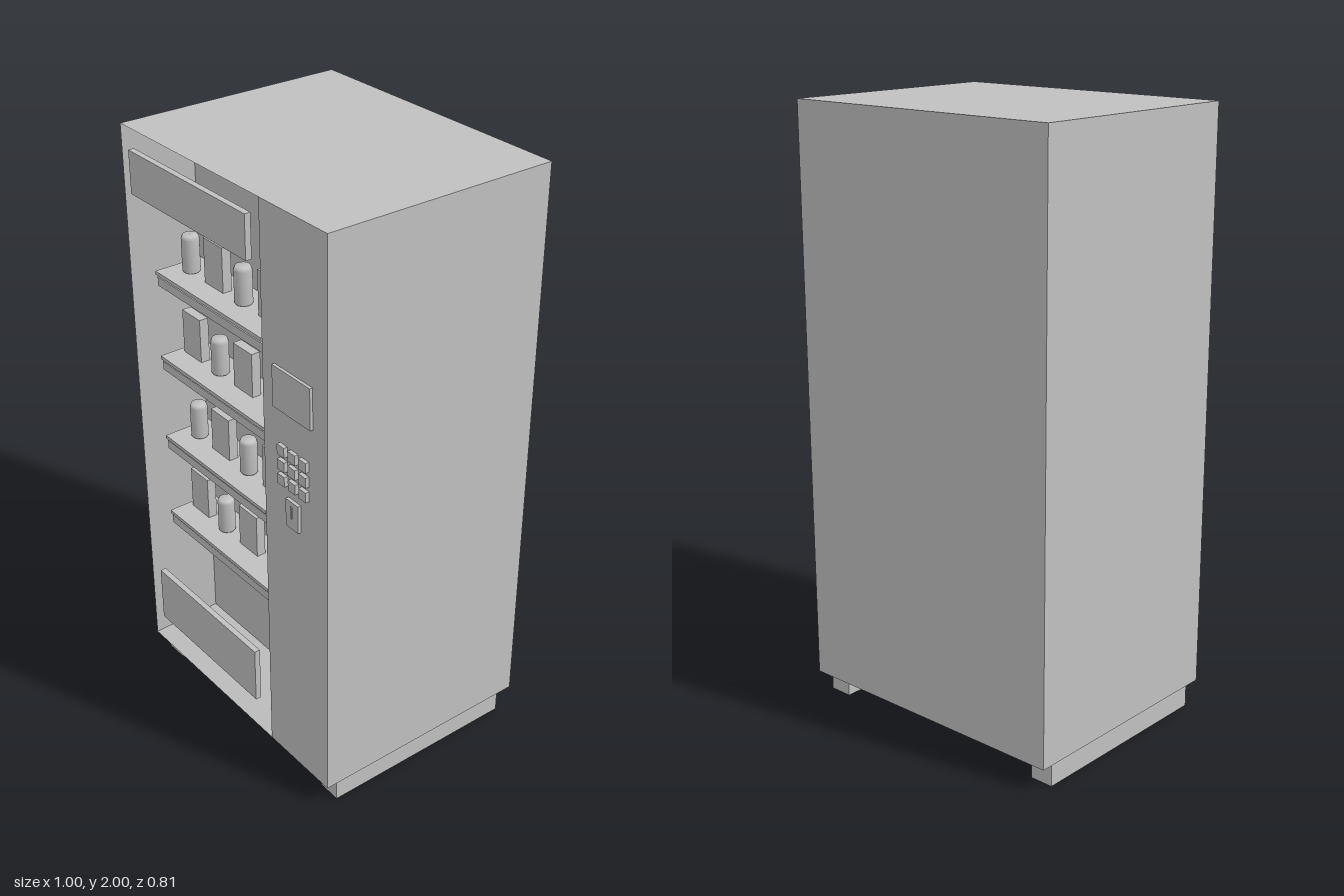
import * as THREE from 'three';

export function createModel() {
  const model = new THREE.Group();
  model.name = 'vendingMachine';
  const grey = new THREE.MeshStandardMaterial({ color: 0xc0c0c0, side: THREE.DoubleSide });
  grey.name = 'plain grey';

  function add(name, geometry, parent = model) {
    const mesh = new THREE.Mesh(geometry, grey);
    mesh.name = name;
    parent.add(mesh);
    return mesh;
  }

  // Box given by its limits on each axis
  function box(name, [x0, x1], [y0, y1], [z0, z1], parent = model) {
    const mesh = add(name, new THREE.BoxGeometry(x1 - x0, y1 - y0, z1 - z0), parent);
    mesh.position.set((x0 + x1) / 2, (y0 + y1) / 2, (z0 + z1) / 2);
    return mesh;
  }

  // Flat-shaded faces, each with four corners counter-clockwise from its front
  function quads(faces) {
    const points = [];
    for (const [a, b, c, d] of faces) points.push(...a, ...b, ...c, ...a, ...c, ...d);
    const geometry = new THREE.BufferGeometry();
    geometry.setAttribute('position', new THREE.Float32BufferAttribute(points, 3));
    geometry.computeVertexNormals();
    return geometry;
  }

  // Rectangle at depth z, counter-clockwise from the lower left
  const rect = (x0, x1, y0, y1, z) => [[x0, y0, z], [x1, y0, z], [x1, y1, z], [x0, y1, z]];
  const FRONT = 0.39, BACK = -0.405;

  // Outer shell, open underneath and at the display window
  const f = rect(-0.5, 0.5, 0.08, 2, FRONT);
  const b = rect(-0.5, 0.5, 0.08, 2, BACK);
  add('cabinetShell', quads([
    [b[1], b[0], b[3], b[2]],
    [f[1], b[1], b[2], f[2]],
    [b[0], f[0], f[3], b[3]],
    [f[3], f[2], b[2], b[3]],
  ]));
  add('controlPanel', quads([rect(0.2, 0.5, 0.08, 2, FRONT)]));

  // Display recess, tapering towards its back wall
  const rim = rect(-0.5, 0.2, 0.08, 2, FRONT);
  const rear = rect(-0.44, 0.14, 0.14, 1.94, 0.174);
  const recess = [rear];
  for (let i = 0; i < 4; i++) {
    const j = (i + 1) % 4;
    recess.push([rim[i], rim[j], rear[j], rear[i]]);
  }
  add('displayRecess', quads(recess));

  // Foot rails
  for (const side of [-1, 1]) {
    const foot = box('footRail', [-0.04, 0.04], [0, 0.08], [-0.355, 0.345]);
    foot.position.x = side * 0.45;
  }

  box('headerSign', [-0.447, 0.147], [1.795, 1.935], [0.38, 0.4]);
  box('deliveryFlap', [-0.43, 0.13], [0.2, 0.4], [0.38, 0.4]);

  // Shelves with alternating cans and cartons
  const canGeometry = new THREE.LatheGeometry(
    [[0, 0], [0.025, 0], [0.029, 0.006], [0.029, 0.112], [0.024, 0.125], [0, 0.125]]
      .map(([x, y]) => new THREE.Vector2(x, y)), 16);
  for (let row = 0; row < 4; row++) {
    const shelf = new THREE.Group();
    shelf.name = 'shelf';
    shelf.position.y = 1.53 - row * 0.3;
    model.add(shelf);
    box('shelfPlate', [-0.43, 0.13], [-0.012, 0], [0.174, 0.344], shelf);
    box('priceRail', [-0.43, 0.13], [-0.052, -0.022], [0.322, 0.337], shelf);
    for (let i = 0; i < 4; i++) {
      const x = -0.36 + i * 0.14;
      if ((row + i) % 2 === 0) {
        add('can', canGeometry, shelf).position.set(x, 0, 0.255);
      } else {
        box('carton', [x - 0.049, x + 0.049], [0, 0.15], [0.235, 0.267], shelf);
      }
    }
  }

  // Controls: screen, keypad and coin slot
  box('screen', [0.258, 0.434], [1.385, 1.52], [0.385, 0.4]);
  for (let row = 0; row < 3; row++) {
    for (let col = 0; col < 3; col++) {
      const x = 0.296 + col * 0.051, y = 1.253 - row * 0.05;
      box('keypadButton', [x - 0.017, x + 0.017], [y - 0.017, y + 0.017], [0.385, 0.403]);
    }
  }
  box('coinPlate', [0.315, 0.375], [1.005, 1.1], [0.385, 0.401]);
  box('coinSlot', [0.341, 0.349], [1.045, 1.085], [0.395, 0.405]);

  return model;
}
